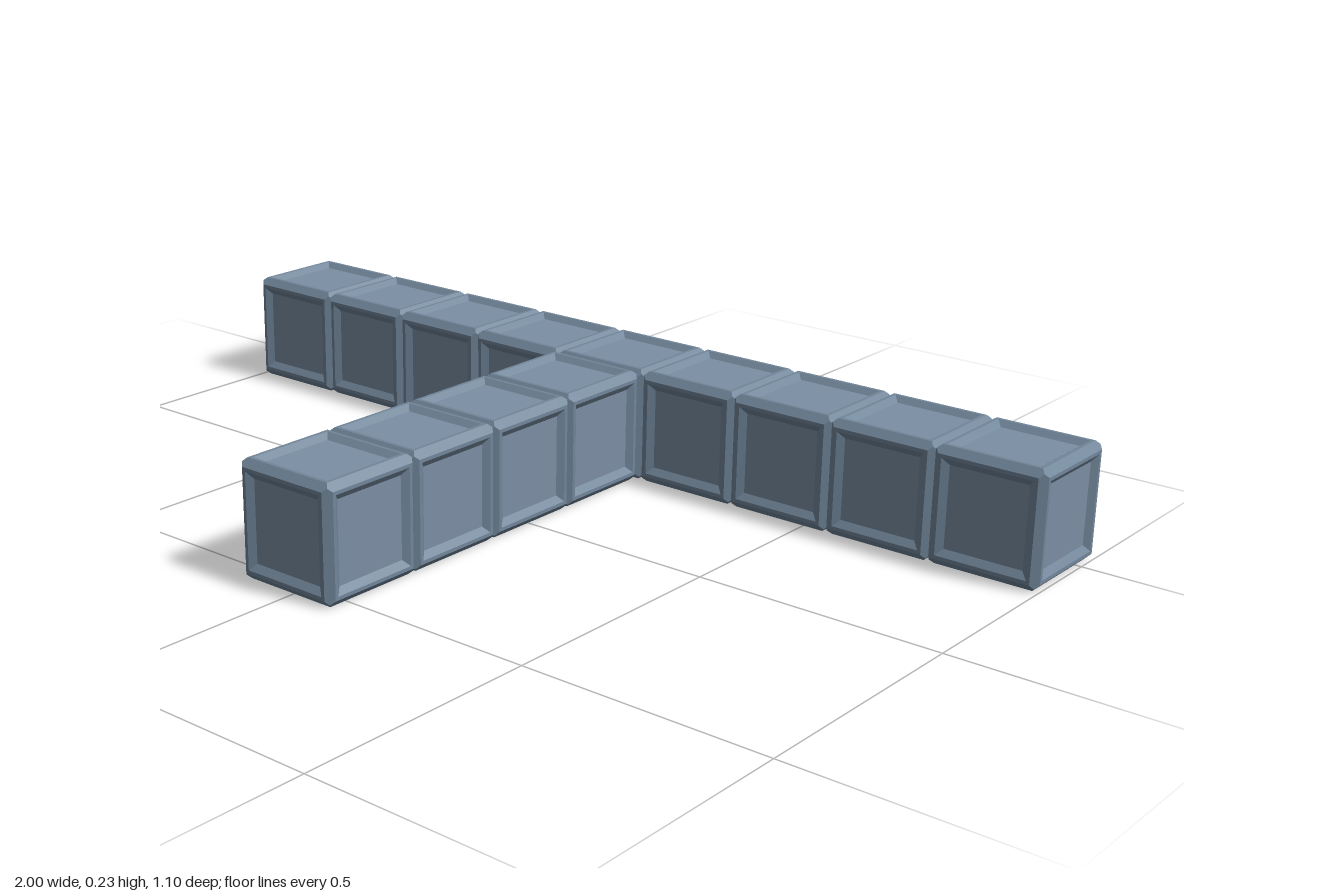
import * as THREE from 'three';

const SIZE = 0.228, HEIGHT = 0.233, HALF = SIZE / 2;
const CHAMFER = 0.014, RECESS = 0.01;
// Distance from the cube edge, and depth below the face, for each ring of a face
const INSET = [CHAMFER / 2, CHAMFER, 0.021, 0.034];
const DEPTH = [CHAMFER / 2, 0, 0, RECESS];
const SEG = 7;

// Chamfered cube with a sunken square panel on each side
function blockGeometry() {
  const box = new THREE.BoxGeometry(SIZE, SIZE, SIZE, SEG, SEG, SEG);
  const pos = box.attributes.position, nor = box.attributes.normal;
  const level = (c) => {
    const i = Math.round((c / SIZE + 0.5) * SEG);
    return Math.min(i, SEG - i);
  };
  for (let i = 0; i < pos.count; i++) {
    const p = pos.array.slice(i * 3, i * 3 + 3);
    const n = nor.array.slice(i * 3, i * 3 + 3);
    const axis = n.findIndex((v) => Math.abs(v) > 0.5);
    const ring = Math.min(...[0, 1, 2].filter((a) => a !== axis).map((a) => level(p[a])));
    for (let a = 0; a < 3; a++) {
      const inset = a === axis ? DEPTH[ring] : INSET[level(p[a])];
      pos.array[i * 3 + a] = Math.sign(p[a]) * (HALF - inset);
    }
  }
  // Sort quads into frame and panel, and mitre the corner quads
  const frame = [], panel = [], idx = box.index.array;
  for (let q = 0; q < idx.length / 6; q++) {
    const ix = q % SEG, iy = Math.floor(q / SEG) % SEG;
    const a = idx[q * 6], b = idx[q * 6 + 1], d = idx[q * 6 + 2], c = idx[q * 6 + 4];
    const mitre = (ix < 3 && iy < 3) || (ix > 3 && iy > 3);
    const tris = mitre ? [a, b, c, a, c, d] : [a, b, d, b, c, d];
    (ix === 3 && iy === 3 ? panel : frame).push(...tris);
  }
  box.setIndex([...frame, ...panel]);
  box.clearGroups();
  const geo = box.toNonIndexed();
  geo.addGroup(0, frame.length, 0);
  geo.addGroup(frame.length, panel.length, 1);
  geo.computeVertexNormals();
  geo.scale(1, HEIGHT / SIZE, 1);
  return geo;
}

export function createModel() {
  const model = new THREE.Group();
  model.name = 'blockTee';
  const frameMat = new THREE.MeshStandardMaterial({ color: 0x71869a });
  frameMat.name = 'frameGrey';
  const panelMat = new THREE.MeshStandardMaterial({ color: 0x7c8fa4 });
  panelMat.name = 'panelGrey';
  const geo = blockGeometry();

  const addBlock = (group, name, x, z) => {
    const block = new THREE.Mesh(geo, [frameMat, panelMat]);
    block.name = name;
    block.position.set(x, HEIGHT / 2, z);
    group.add(block);
  };

  // Long bar of nine blocks along the back
  const bar = new THREE.Group();
  bar.name = 'crossBar';
  for (let i = -4; i <= 4; i++) addBlock(bar, `barBlock${i + 5}`, i * 0.2215, -0.438);

  // Stem of four blocks running to the front
  const stem = new THREE.Group();
  stem.name = 'stem';
  for (let i = 0; i < 4; i++) addBlock(stem, `stemBlock${i + 1}`, -0.009, 0.438 - i * 0.219);

  model.add(bar, stem);
  return model;
}
